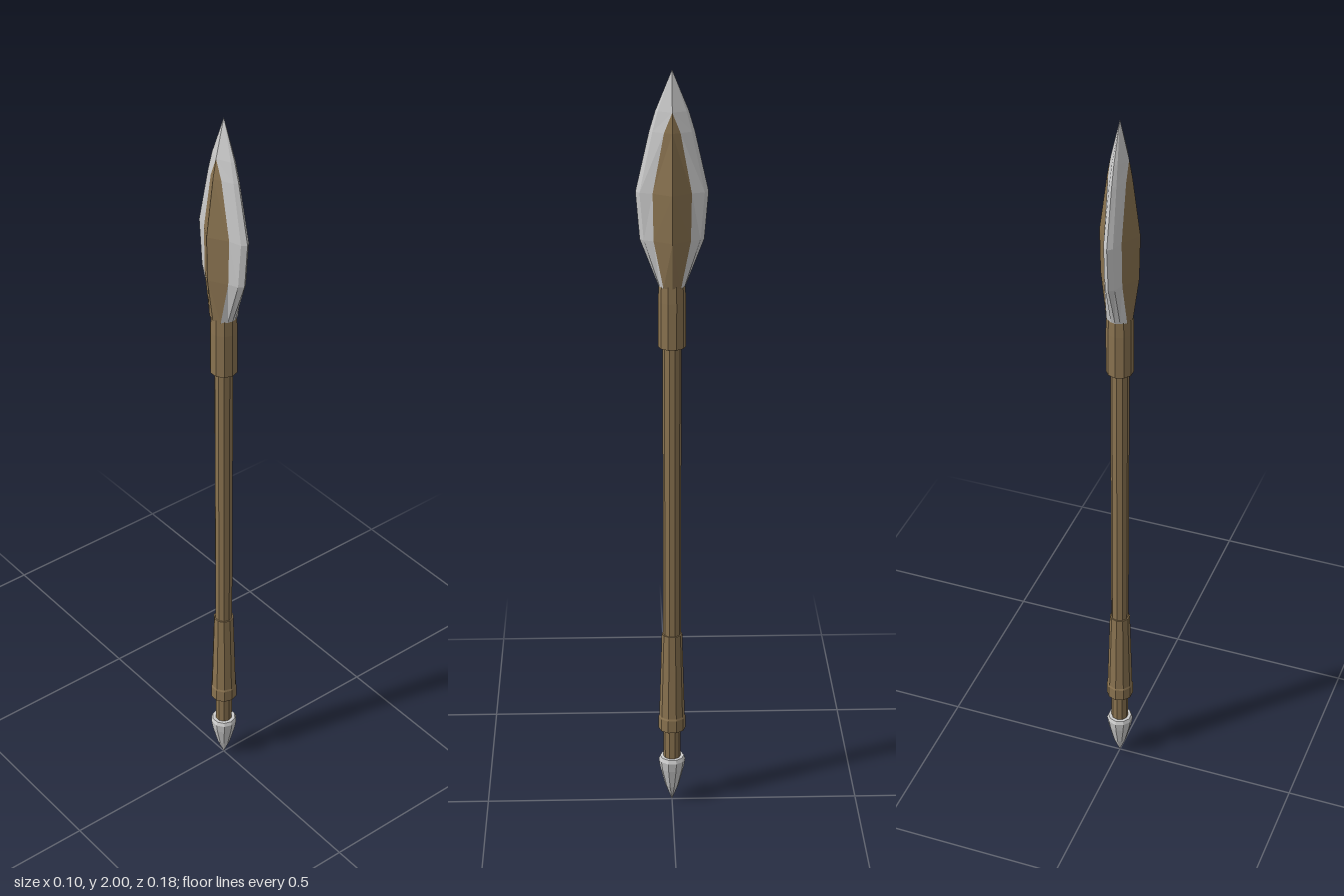
import * as THREE from 'three';

const WOOD = 0x8a7350, STEEL = 0xcccccc, SIDES = 10;

function material(color) {
  return new THREE.MeshStandardMaterial({ color, flatShading: true });
}

// Turned part from [radius, height] pairs, bottom to top
function turned(name, profile, color) {
  const points = profile.map(([r, y]) => new THREE.Vector2(r, y));
  const mesh = new THREE.Mesh(new THREE.LatheGeometry(points, SIDES), material(color));
  mesh.name = name;
  return mesh;
}

// Skin between two rails of points; flip reverses the winding
function strip(out, a, b, flip) {
  const tri = (p, q, r) => out.push(...p, ...(flip ? [...r, ...q] : [...q, ...r]));
  for (let i = 0; i < a.length - 1; i++) {
    tri(a[i], a[i + 1], b[i]);
    tri(b[i], a[i + 1], b[i + 1]);
  }
}

function skin(name, positions, color) {
  const geometry = new THREE.BufferGeometry();
  geometry.setAttribute('position', new THREE.Float32BufferAttribute(positions, 3));
  geometry.computeVertexNormals();
  const mesh = new THREE.Mesh(geometry, material(color));
  mesh.name = name;
  return mesh;
}

// Blade: rails of a quarter section, mirrored into all four quadrants
function createBlade() {
  const heights = [1.46, 1.58, 1.70, 1.85, 1.90, 2.0];
  const ridge = [[0.034, 0], [0.05, 0], [0.052, 0], [0.032, 0], [0.023, 0], [0, 0]];
  const panel = [[0.027, 0.022], [0.023, 0.046], [0.022, 0.048], [0.023, 0.02], [0.023, 0], [0, 0]];
  const bevel = [[0.012, 0.031], [0.012, 0.07], [0.012, 0.08], [0.009, 0.048], [0.007, 0.035], [0, 0]];
  const edge = [[0, 0.034], [0, 0.08], [0, 0.09], [0, 0.056], [0, 0.041], [0, 0]];
  const wood = [], steel = [];
  for (const sx of [1, -1]) {
    for (const sz of [1, -1]) {
      const rail = (r) => r.map(([x, z], i) => [x * sx, heights[i], z * sz]);
      const [a, b, c, d] = [ridge, panel, bevel, edge].map(rail);
      const flip = sx * sz < 0;
      strip(wood, a.slice(0, 5), b.slice(0, 5), flip);
      strip(steel, b, c, flip);
      strip(steel, c, d, flip);
    }
  }
  const blade = new THREE.Group();
  blade.name = 'blade';
  blade.add(skin('bladeRidge', wood, WOOD), skin('bladeEdges', steel, STEEL));
  return blade;
}

export function createModel() {
  const spear = new THREE.Group();
  spear.name = 'spear';
  spear.add(
    turned('shaft', [[0, 0.12], [0.023, 0.12], [0.024, 1.32], [0, 1.32]], WOOD),
    // Sleeve that holds the blade
    turned('collar', [[0.024, 1.30], [0.035, 1.30], [0.035, 1.42], [0.033, 1.475], [0, 1.475]], WOOD),
    // Tapered wrap at the lower end
    turned('grip', [[0.023, 0.22], [0.036, 0.22], [0.036, 0.255], [0.034, 0.26], [0.027, 0.50], [0.023, 0.50]], WOOD),
    // Pointed metal foot
    turned('buttSpike', [[0, 0], [0.018, 0.045], [0.032, 0.10], [0.036, 0.125], [0.032, 0.135], [0, 0.135]], STEEL),
    createBlade()
  );
  return spear;
}
